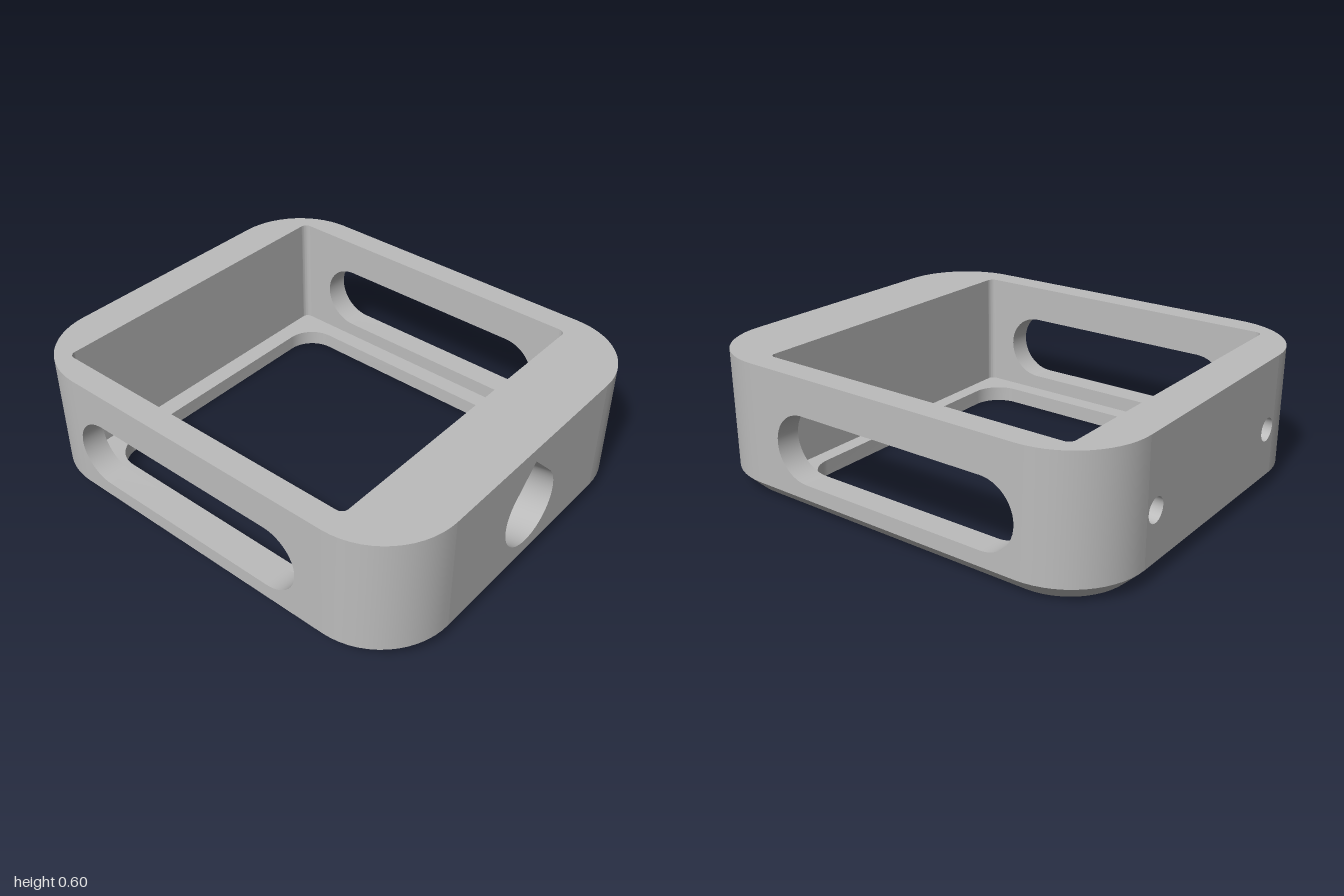
import * as THREE from 'three';
import { mergeGeometries, toCreasedNormals } from 'three/addons/utils/BufferGeometryUtils.js';

// Overall sizes
const W = 0.856, D = 1, H = 0.6, BASE = 0.07, R = 0.335;
const CAV = { x: 0.745, back: -0.82, front: 0.67, r: 0.03 };
const MID = 0.287;

// Local frames: u right, v up, d along the outward normal
const V = new THREE.Vector3();
const DIRS = {
  front: new THREE.Matrix4(),
  right: new THREE.Matrix4().makeRotationY(Math.PI / 2),
  back: new THREE.Matrix4().makeRotationY(Math.PI),
  left: new THREE.Matrix4().makeRotationY(-Math.PI / 2),
  top: new THREE.Matrix4().makeRotationX(-Math.PI / 2),
  bottom: new THREE.Matrix4().makeRotationX(Math.PI / 2),
};

function arc(cx, cy, r, a0, a1, n = 14) {
  return Array.from({ length: n + 1 }, (_, i) => {
    const a = a0 + (a1 - a0) * i / n;
    return new THREE.Vector2(cx + r * Math.cos(a), cy + r * Math.sin(a));
  });
}

// Four quarter arcs of a rounded rectangle, counter-clockwise
function corners(u0, u1, v0, v1, r) {
  const q = Math.PI / 2;
  return [[u1 - r, v1 - r], [u0 + r, v1 - r], [u0 + r, v0 + r], [u1 - r, v0 + r]]
    .map(([u, v], i) => arc(u, v, r, i * q, (i + 1) * q));
}

const lift = (pts, d) => pts.map(p => new THREE.Vector3(p.x, p.y, d));
const mirrorV = pts => pts.map(p => new THREE.Vector2(p.x, -p.y));
const rect = (u0, u1, v0, v1) => [[u0, v0], [u1, v0], [u1, v1], [u0, v1]].map(p => new THREE.Vector2(...p));

// Flat face with holes
function face(pts, holes, dir, d) {
  const shape = new THREE.Shape(pts);
  holes.forEach(h => shape.holes.push(new THREE.Path(h)));
  const g = new THREE.ShapeGeometry(shape).translate(0, 0, d).applyMatrix4(DIRS[dir]).toNonIndexed();
  g.deleteAttribute('uv');
  return g;
}

// Band between two matching loops; faces outward when b lies further along the normal
function band(a, b, dir, closed = true) {
  const pos = [], n = a.length;
  for (let i = 0; i < (closed ? n : n - 1); i++) {
    const j = (i + 1) % n;
    for (const p of [a[i], a[j], b[j], a[i], b[j], b[i]]) {
      V.copy(p).applyMatrix4(DIRS[dir]);
      pos.push(V.x, V.y, V.z);
    }
  }
  const g = new THREE.BufferGeometry();
  g.setAttribute('position', new THREE.Float32BufferAttribute(pos, 3));
  return toCreasedNormals(g, 0.5);
}

export function createModel() {
  const group = new THREE.Group();
  const grey = new THREE.MeshStandardMaterial({ color: 0xbcbcbc, side: THREE.DoubleSide });
  grey.name = 'matte grey';
  const add = (name, ...geos) => {
    const mesh = new THREE.Mesh(mergeGeometries(geos), grey);
    mesh.name = name;
    group.add(mesh);
  };

  // Plan outlines (v = -z)
  const outerArcs = corners(-W, W, -D, D, R), outer = outerArcs.flat();
  const c = BASE;
  const foot = corners(-W + c, W - c, -D + c, D - c, R - c).flat();
  const cavArcs = corners(-CAV.x, CAV.x, -CAV.front, -CAV.back, CAV.r), cavity = cavArcs.flat();
  const opening = corners(-0.665, 0.665, -0.6, 0.735, 0.135).flat();

  // Rounded-end slots, as seen from each side
  const slot = (u0, u1) => {
    const r = 0.15, q = Math.PI / 2;
    return [...arc(u1 - r, MID, r, -q, q, 24), ...arc(u0 + r, MID, r, q, 3 * q, 24)];
  };
  const slotRight = slot(-0.532, 0.662), slotLeft = slot(-0.662, 0.532);

  // Teardrop outline: three-quarter circle with a pointed roof
  const tearR = 0.17, tearY = 0.295;
  const tear = [...arc(0, tearY, tearR, Math.PI * 0.75, Math.PI * 2.25, 40),
    new THREE.Vector2(0, tearY + tearR * Math.SQRT2)];
  const screws = [-0.46, 0.46].map(x => arc(x, MID, 0.052, 0, Math.PI * 2, 28).slice(0, -1));

  // Rim and base
  add('topRim', face(outer, [cavity], 'top', H));
  add('base',
    face(mirrorV(foot), [mirrorV(opening)], 'bottom', 0),
    face(cavity, [opening], 'top', BASE),
    band(lift(opening, BASE), lift(opening, 0), 'top'));
  add('baseChamfer', band(lift(foot, 0), lift(outer, BASE), 'top'));

  // Rounded corners outside and inside
  add('outerCorners', ...outerArcs.map(a => band(lift(a, BASE), lift(a, H), 'top', false)));
  add('innerCorners', ...cavArcs.map(a => band(lift(a, H), lift(a, BASE), 'top', false)));

  // Flat outer walls
  const endWall = rect(-W + R, W - R, BASE, H), sideWall = rect(-D + R, D - R, BASE, H);
  add('frontWall', face(endWall, [tear], 'front', D));
  add('backWall', face(endWall, screws, 'back', D));
  add('sideWalls', face(sideWall, [slotRight], 'right', W), face(sideWall, [slotLeft], 'left', W));

  // Flat cavity walls
  const { x, back, front, r } = CAV;
  const innerEnd = rect(-x + r, x - r, BASE, H);
  add('cavityWalls',
    face(innerEnd, [], 'front', back),
    face(innerEnd, [], 'back', -front),
    face(rect(back + r, front - r, BASE, H), [slotLeft], 'left', -x),
    face(rect(-front + r, -back - r, BASE, H), [slotRight], 'right', -x));

  // Slots through the side walls
  add('sideSlots',
    band(lift(slotRight, W), lift(slotRight, x), 'right'),
    band(lift(slotLeft, W), lift(slotLeft, x), 'left'));

  // Teardrop pocket sloping down into the front wall, with a tilted floor
  const sink = p => new THREE.Vector3(p.x, p.y - 0.05, D - 0.25 - 0.2 * (p.y - tearY));
  const floor = face(tear, [], 'front', 0), fp = floor.attributes.position;
  for (let i = 0; i < fp.count; i++) {
    const p = sink(V.fromBufferAttribute(fp, i));
    fp.setXYZ(i, p.x, p.y, p.z);
  }
  floor.computeVertexNormals();
  add('teardropPocket', band(lift(tear, D), tear.map(sink), 'front'), floor);

  // Blind screw holes in the back wall
  add('screwHoles', ...screws.flatMap(s => [
    band(lift(s, D), lift(s, D - 0.13), 'back'), face(s, [], 'back', D - 0.13)]));

  return group;
}
